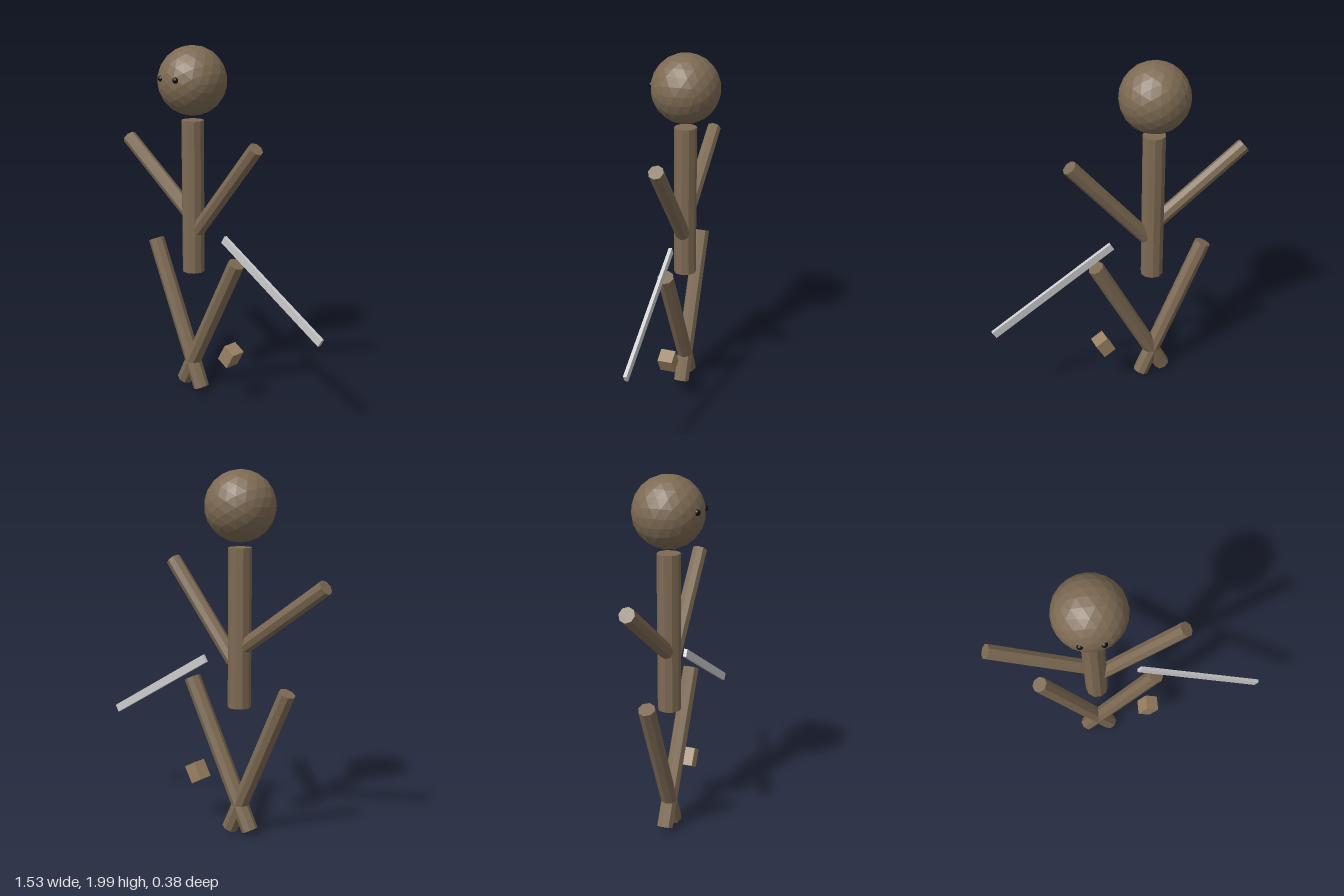
import * as THREE from 'three';

const paint = (color) => new THREE.MeshStandardMaterial({ color, flatShading: true });

export function createModel() {
  const model = new THREE.Group();
  const skin = paint(0x7d6a53);
  const black = paint(0x0a0a0a);

  const add = (name, geometry, material, x, y, z = 0) => {
    const mesh = new THREE.Mesh(geometry, material);
    mesh.name = name;
    mesh.position.set(x, y, z);
    model.add(mesh);
    return mesh;
  };

  // faceted rod between two points of the z = 0 plane
  const rod = (name, [x0, y0], [x1, y1], radius, sides) => {
    const length = Math.hypot(x1 - x0, y1 - y0);
    const geometry = new THREE.CylinderGeometry(radius, radius, length, sides);
    geometry.rotateY(Math.PI / 2);
    const mesh = add(name, geometry, skin, (x0 + x1) / 2, (y0 + y1) / 2);
    mesh.rotation.z = Math.atan2(y1 - y0, x1 - x0) - Math.PI / 2;
  };

  // head and eyes
  add('head', new THREE.IcosahedronGeometry(0.19, 3), skin, -0.19, 1.81);
  for (const [name, side] of [['rightEye', -1], ['leftEye', 1]]) {
    add(name, new THREE.IcosahedronGeometry(0.017, 2), black, -0.19 + side * 0.057, 1.83, 0.174);
  }

  // torso and limbs
  rod('torso', [-0.19, 0.73], [-0.19, 1.595], 0.063, 10);
  rod('rightArm', [-0.19, 1.045], [-0.735, 1.43], 0.042, 8);
  rod('leftArm', [-0.15, 0.98], [0.288, 1.5], 0.042, 8);
  rod('rightLeg', [-0.13, 0.025], [-0.51, 0.855], 0.046, 8);
  rod('leftLeg', [-0.27, 0.04], [0.15, 0.845], 0.046, 8);

  // loose sword: blade and grip, both tilted the same way
  const tilt = -Math.PI / 6;
  add('blade', new THREE.BoxGeometry(0.81, 0.045, 0.019), paint(0xcccccc), 0.405, 0.763).rotation.z = tilt;
  add('grip', new THREE.BoxGeometry(0.079, 0.104, 0.085), paint(0x9a8062), 0.111, 0.299).rotation.z = tilt;

  return model;
}
